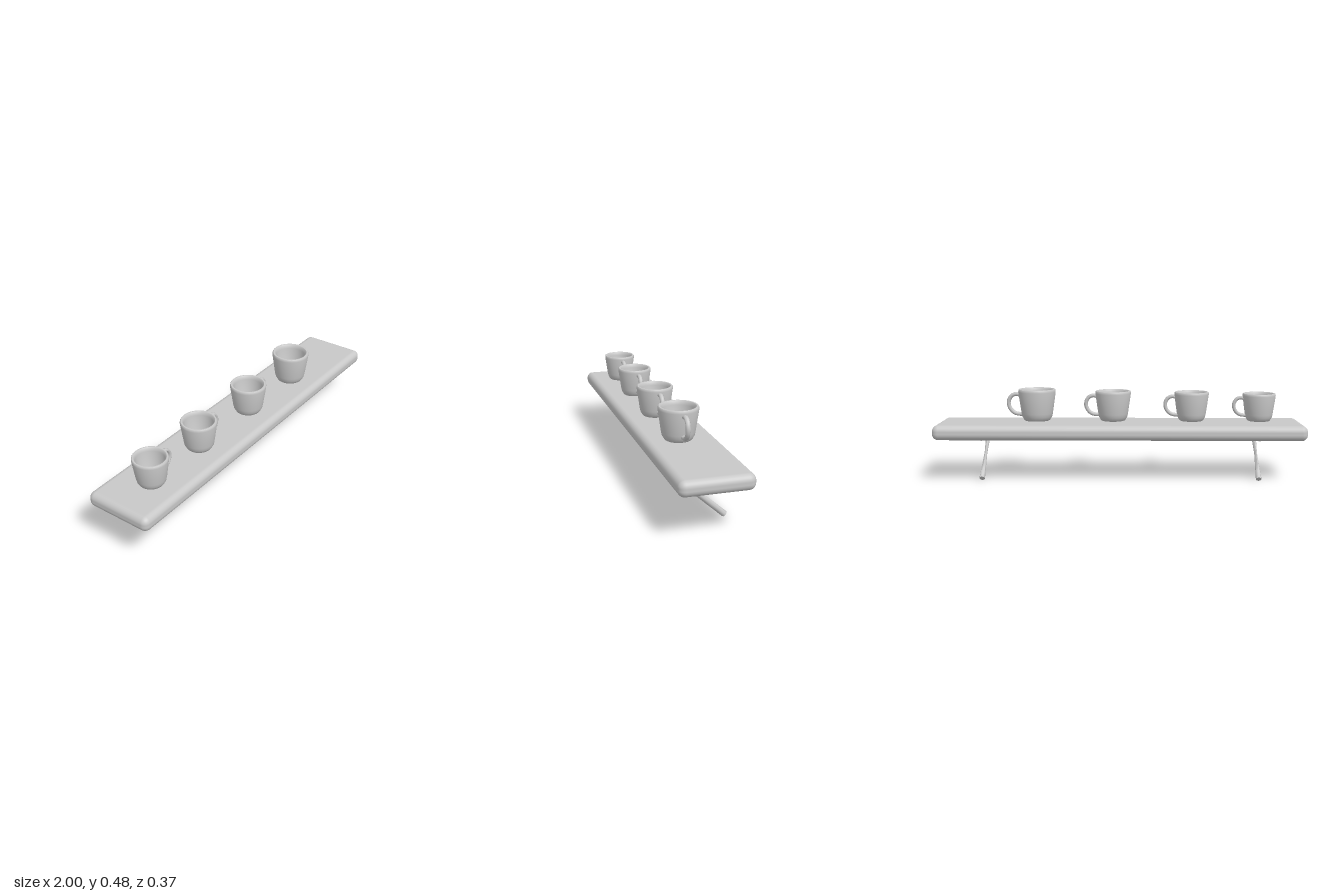
import * as THREE from 'three';
import { RoundedBoxGeometry } from 'three/addons/geometries/RoundedBoxGeometry.js';
import { toCreasedNormals } from 'three/addons/utils/BufferGeometryUtils.js';

const grey = new THREE.MeshStandardMaterial({ color: 0xc8c8c8 });
grey.name = 'plain grey';

function add(parent, name, geometry) {
  const mesh = new THREE.Mesh(geometry, grey);
  mesh.name = name;
  parent.add(mesh);
  return mesh;
}

// Hollow cup body: up the outside, over the rim, down the rounded inside
function cupBody() {
  const profile = [
    [0, 0], [0.066, 0], [0.071, 0.003], [0.082, 0.022], [0.086, 0.04],
    [0.103, 0.157], [0.102, 0.168], [0.099, 0.172], [0.091, 0.172], [0.086, 0.167],
    [0.083, 0.15], [0.072, 0.05], [0.063, 0.028], [0.045, 0.019], [0, 0.017],
  ].map(([r, y]) => new THREE.Vector2(r, y));
  return toCreasedNormals(new THREE.LatheGeometry(profile, 28), 0.7);
}

// Curved handle on the +x side of a cup
function cupHandle() {
  const path = new THREE.CatmullRomCurve3([
    [0.092, 0.139], [0.112, 0.145], [0.136, 0.138], [0.152, 0.118],
    [0.157, 0.095], [0.15, 0.068], [0.13, 0.045], [0.108, 0.036], [0.082, 0.034],
  ].map(([x, y]) => new THREE.Vector3(x, y, 0)));
  const tube = new THREE.TubeGeometry(path, 18, 0.011, 8);
  return tube.scale(1, 1, 1.2);
}

// Rod between two points in the yz plane, pinched sideways at its middle
function rod(a, b, radius, waist) {
  const start = new THREE.Vector3(0, ...a);
  const dir = new THREE.Vector3(0, ...b).sub(start);
  const length = dir.length();
  const geo = new THREE.CylinderGeometry(radius, radius, length, 8, 8);
  const p = geo.attributes.position;
  for (let i = 0; i < p.count; i++) {
    const t = Math.abs(p.getY(i)) / (length / 2);
    p.setX(i, p.getX(i) * (waist + (1 - waist) * t));
  }
  geo.computeVertexNormals();
  geo.applyQuaternion(new THREE.Quaternion().setFromUnitVectors(
    new THREE.Vector3(0, 1, 0), dir.clone().normalize()));
  geo.translate(0, (a[0] + b[0]) / 2, (a[1] + b[1]) / 2);
  return toCreasedNormals(geo, 0.9);
}

export function createModel() {
  const model = new THREE.Group();
  model.name = 'cupShelf';

  // Shelf board with rounded edges
  add(model, 'board', new RoundedBoxGeometry(2, 0.081, 0.368, 3, 0.034))
    .position.set(0, 0.2675, 0.001);

  // Row of cups growing from left to right: [x, scale]
  const body = cupBody();
  const handle = cupHandle();
  [[-0.762, 0.875], [-0.393, 0.92], [0.037, 0.95], [0.455, 1]].forEach(([x, s], i) => {
    const cup = new THREE.Group();
    cup.name = 'cup' + (i + 1);
    add(cup, 'cupBody', body);
    add(cup, 'cupHandle', handle);
    cup.position.set(x, 0.313, 0.018);
    cup.scale.setScalar(s);
    model.add(cup);
  });

  // Brackets: a slanting strut and a rod mostly sunk into the board
  const strut = rod([0.25, 0.14], [0.0145, -0.125], 0.0155, 0.5);
  const rail = rod([0.25, 0.11], [0.2345, -0.125], 0.0155, 0.55);
  [-0.75, 0.743].forEach((x) => {
    const bracket = new THREE.Group();
    bracket.name = 'bracket';
    add(bracket, 'strut', strut);
    add(bracket, 'rail', rail);
    bracket.position.x = x;
    model.add(bracket);
  });

  return model;
}
